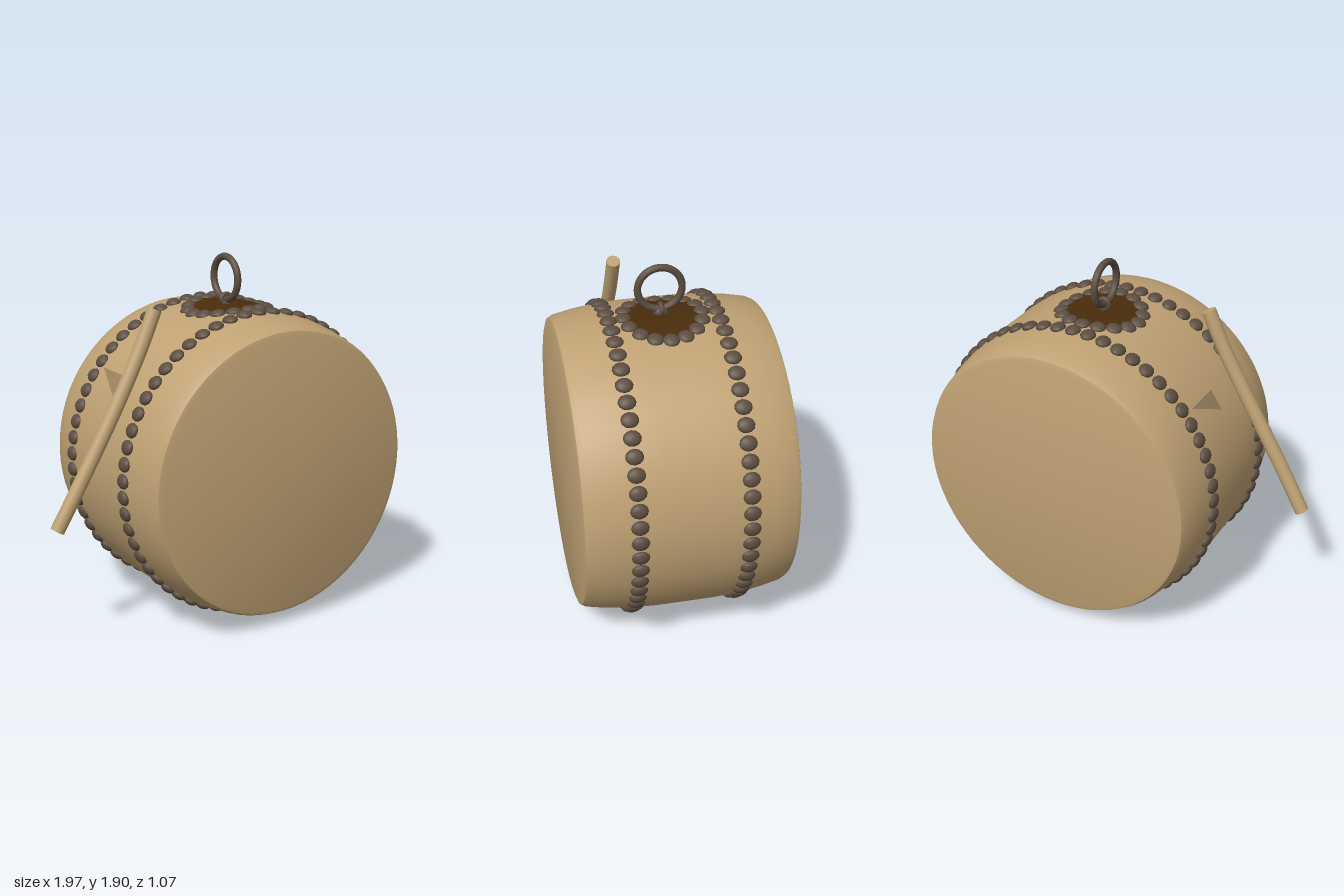
import * as THREE from 'three';
import { toCreasedNormals } from 'three/addons/utils/BufferGeometryUtils.js';

const CX = 0.16, CY = 0.838, R = 0.808;

export function createModel() {
  const model = new THREE.Group();
  const material = (name, color, side = THREE.FrontSide) => {
    const m = new THREE.MeshStandardMaterial({ color, side });
    m.name = name;
    return m;
  };
  const wood = material('paleWood', 0xbfa173);
  const iron = material('darkIron', 0x5c4d40);
  const brown = material('darkBrown', 0x4a2c0c, THREE.DoubleSide);
  const shade = material('shadedWood', 0x9a825c, THREE.DoubleSide);
  const add = (name, geometry, mat, parent = model) => {
    const mesh = new THREE.Mesh(geometry, mat);
    mesh.name = name;
    parent.add(mesh);
    return mesh;
  };

  // Barrel body with closed, slightly rounded heads
  const profile = [
    [0, -0.535], [0.73, -0.537], [0.752, -0.53], [0.765, -0.505], [0.786, -0.4],
    [0.802, -0.28], [R, -0.15], [R, 0.15], [0.802, 0.28], [0.786, 0.4],
    [0.765, 0.505], [0.752, 0.53], [0.73, 0.537], [0, 0.535],
  ].map(([r, y]) => new THREE.Vector2(r, y));
  const bodyGeometry = new THREE.LatheGeometry(profile, 72).rotateX(Math.PI / 2);
  add('drumBody', toCreasedNormals(bodyGeometry, 0.6), wood).position.set(CX, CY, 0);

  // Point on the barrel's side: angle from straight up toward +x
  const onBarrel = (angle, z, r = R) =>
    new THREE.Vector3(CX + Math.sin(angle) * r, CY + Math.cos(angle) * r, z);
  const studGeometry = new THREE.SphereGeometry(1, 12, 8);
  const addStud = (parent, angle, z, r, size) => {
    const stud = add('stud', studGeometry, iron, parent);
    stud.position.copy(onBarrel(angle, z, r));
    stud.rotation.z = -angle;
    stud.scale.set(...size);
  };

  // Two rows of studs round the barrel
  const count = 58;
  for (const side of [1, -1]) {
    const row = new THREE.Group();
    row.name = side > 0 ? 'frontStudRow' : 'backStudRow';
    model.add(row);
    for (let i = 0; i < count; i++) {
      addStud(row, (i / count) * Math.PI * 2, side * 0.273, 0.803, [0.039, 0.024, 0.045]);
    }
  }

  // Curved plate on top, bent over the barrel
  const plate = new THREE.CircleGeometry(0.205, 32).rotateX(-Math.PI / 2);
  const disc = new THREE.RingGeometry(0, 0.205, 32, 8).rotateX(-Math.PI / 2);
  plate.dispose();
  const p = disc.attributes.position;
  for (let i = 0; i < p.count; i++) {
    const v = onBarrel(p.getX(i) / R - 0.01, p.getZ(i), R + 0.005);
    p.setXYZ(i, v.x, v.y, v.z);
  }
  disc.computeVertexNormals();
  add('topPlate', disc, brown);

  // Studs round the plate
  const plateStuds = new THREE.Group();
  plateStuds.name = 'plateStuds';
  model.add(plateStuds);
  for (let i = 0; i < 16; i++) {
    const t = (i / 16) * Math.PI * 2;
    addStud(plateStuds, (Math.cos(t) * 0.215) / R - 0.01, Math.sin(t) * 0.198, 0.807,
      [0.042, 0.022, 0.042]);
  }

  // Carrying ring and the eye that holds it
  const ring = add('carryingRing', new THREE.TorusGeometry(0.112, 0.0185, 12, 40), iron);
  ring.position.set(0.135, 1.785, 0.01);
  ring.rotation.y = Math.PI / 2;
  const eye = add('ringEye', new THREE.TorusGeometry(0.027, 0.013, 10, 20), iron);
  eye.position.set(0.14, 1.672, 0.005);
  const base = add('ringBase', new THREE.SphereGeometry(0.038, 16, 10), iron);
  base.position.set(0.14, 1.655, 0.005);
  base.scale.set(0.8, 0.8, 1);

  // Slightly bent drumstick
  const path = new THREE.CatmullRomCurve3([
    [-0.957, 0.65, 0.165], [-0.82, 0.885, 0.172], [-0.62, 1.225, 0.168],
    [-0.47, 1.5, 0.157], [-0.38, 1.695, 0.152],
  ].map((a) => new THREE.Vector3(...a)));
  const radius = 0.037;
  add('drumstick', new THREE.TubeGeometry(path, 24, radius, 14), wood);
  for (const t of [0, 1]) {
    const cap = add('drumstickEnd', new THREE.CircleGeometry(radius, 14), wood);
    const end = path.getPoint(t);
    const out = path.getTangent(t).multiplyScalar(t ? 1 : -1);
    cap.position.copy(end);
    cap.lookAt(end.clone().add(out));
  }

  // Small triangular mark on the barrel
  const mark = new THREE.BufferGeometry().setFromPoints(
    [[-0.54, 0], [-0.475, 0], [-0.475, -0.21]].map(([x, z]) =>
      onBarrel(Math.asin((x - CX) / R), z, R + 0.004)));
  mark.computeVertexNormals();
  add('barrelMark', mark, shade);

  return model;
}
